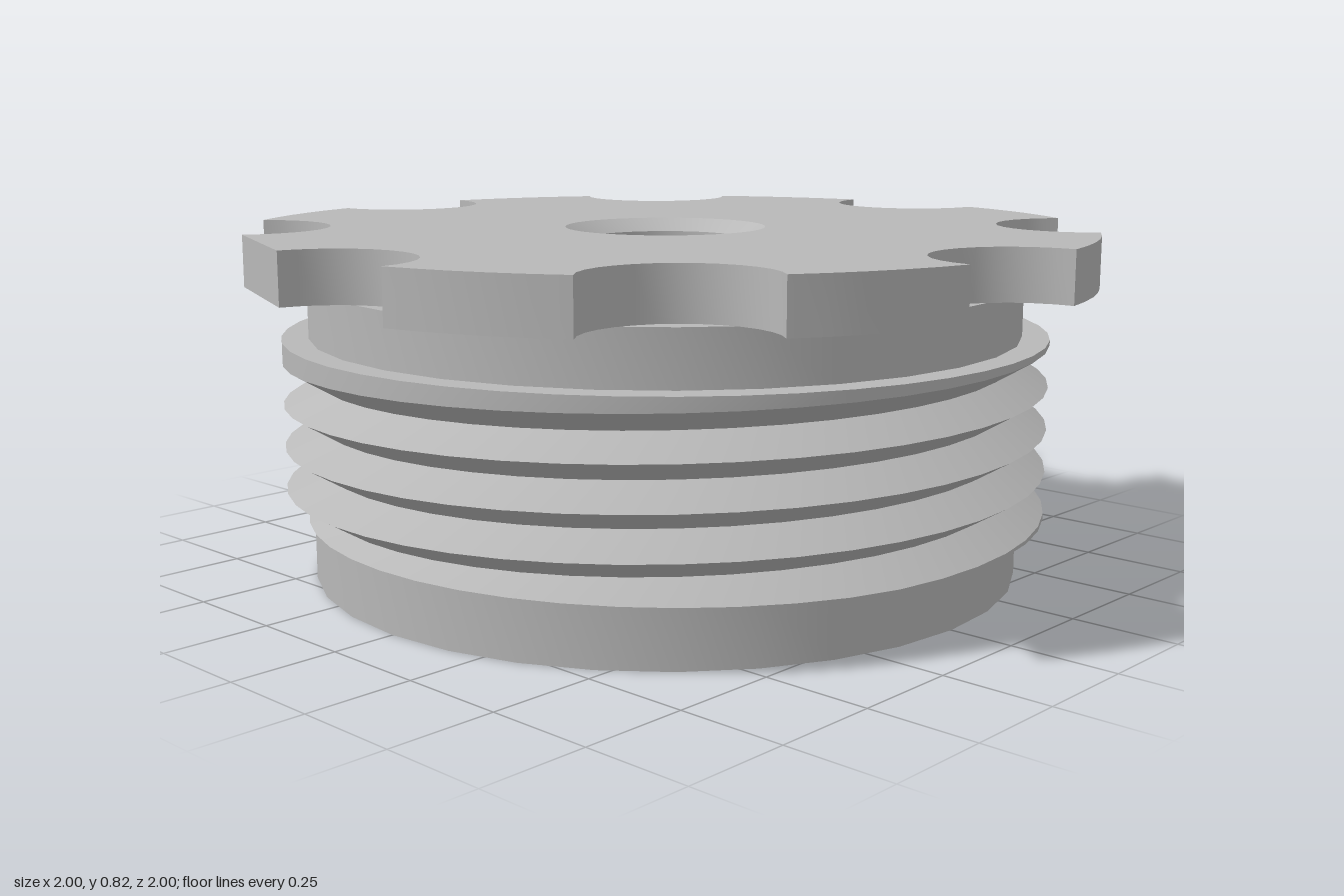
import * as THREE from 'three';
import { toCreasedNormals } from 'three/addons/utils/BufferGeometryUtils.js';

const grey = new THREE.MeshStandardMaterial({ color: 0xb8b8b8, side: THREE.DoubleSide });
grey.name = 'grey plastic';

function part(name, geometry, crease = 0.5) {
  const mesh = new THREE.Mesh(toCreasedNormals(geometry, crease), grey);
  mesh.name = name;
  return mesh;
}

function lathe(points, segments) {
  return new THREE.LatheGeometry(points.map(([r, y]) => new THREE.Vector2(r, y)), segments);
}

// Grip plate: a disc with eight round notches, one rim section cut straight
function gripPlate() {
  const outer = 1.019, notch = 0.197, steps = 14, half = Math.atan(notch);
  const pts = [];
  for (let k = 0; k < 8; k++) {
    const a = k * Math.PI / 4;
    const from = k === 6 ? 0.15 : 0, to = Math.PI - (k === 5 ? 0.15 : 0);
    for (let i = 0; i <= steps; i++) {
      const t = -Math.PI / 2 - from - (to - from) * i / steps;
      const u = 1 + notch * Math.cos(t), v = notch * Math.sin(t);
      pts.push(new THREE.Vector2(u * Math.cos(a) - v * Math.sin(a), u * Math.sin(a) + v * Math.cos(a)));
    }
    if (k === 5) continue;
    for (let i = 1; i < 5; i++) {
      const t = a + half + (Math.PI / 4 - 2 * half) * i / 5;
      pts.push(new THREE.Vector2(outer * Math.cos(t), outer * Math.sin(t)));
    }
  }
  const shape = new THREE.Shape(pts);
  const hole = new THREE.Path();
  hole.absarc(0, 0, 0.24, 0, Math.PI * 2, true);
  shape.holes.push(hole);
  const g = new THREE.ExtrudeGeometry(shape, { depth: 0.12, bevelEnabled: false, curveSegments: 20 });
  return g.rotateX(-Math.PI / 2).translate(0, 0.7, 0);
}

// Thread: a collar with a rising helical V groove of four turns
function threadProfile(phase) {
  const bottom = 0.15, top = 0.575, pitch = 0.1;
  const first = 0.13 + pitch * phase;
  const ys = [bottom];
  for (let i = -1; i <= 7; i++) ys.push(first + i * pitch / 2);
  ys.push(top);
  const rows = ys.map((value) => {
    const y = Math.min(top, Math.max(bottom, value));
    let depth = 0;
    for (let k = 0; k < 4; k++) {
      depth = Math.max(depth, 1 - Math.abs(y - first - k * pitch) / (pitch / 2));
    }
    return [0.913 - 0.083 * depth, y];
  });
  return [[0.8, bottom], ...rows, [0.8, top]];
}

function threadGeometry() {
  const segments = 48, pos = [];
  const at = (phase, [r, y]) => {
    const a = phase * Math.PI * 2;
    return [-r * Math.sin(a), y, -r * Math.cos(a)];
  };
  const quad = (a, b, c, d) => pos.push(...a, ...b, ...c, ...a, ...c, ...d);
  for (let i = 0; i < segments; i++) {
    const p0 = i / segments, p1 = (i + 1) / segments;
    const c0 = threadProfile(p0), c1 = threadProfile(p1);
    for (let j = 0; j < c0.length - 1; j++) {
      quad(at(p0, c0[j]), at(p1, c1[j]), at(p1, c1[j + 1]), at(p0, c0[j + 1]));
    }
  }
  // End walls where the groove starts and stops
  for (const phase of [0, 1]) {
    const c = threadProfile(phase);
    for (let j = 1; j < c.length - 2; j++) {
      const corners = [[0.8, c[j][1]], c[j], c[j + 1], [0.8, c[j + 1][1]]].map((p) => at(phase, p));
      if (phase) corners.reverse();
      quad(...corners);
    }
  }
  const g = new THREE.BufferGeometry();
  g.setAttribute('position', new THREE.Float32BufferAttribute(pos, 3));
  g.computeVertexNormals();
  return g;
}

export function createModel() {
  const model = new THREE.Group();
  model.name = 'threaded plug';

  model.add(part('gripPlate', gripPlate(), 0.4));

  // Plain collars above and below the thread, with the hollow underside
  model.add(part('body', lathe([
    [0.565, 0.13], [0.74, 0.13], [0.74, 0.115], [0.765, 0.115], [0.765, 0], [0.85, 0],
    [0.85, 0.16], [0.8, 0.16], [0.8, 0.56], [0.85, 0.56], [0.85, 0.7], [0.7, 0.7],
  ], 32)));

  model.add(part('thread', threadGeometry(), 0.35));

  // Shallow bulge under the plug
  model.add(part('undersideDome', lathe([
    [0, 0.04], [0.2, 0.05], [0.4, 0.08], [0.565, 0.13],
  ], 16)));

  // Countersunk bowl in the middle of the top
  model.add(part('topRecess', lathe([
    [0.24, 0.82], [0.195, 0.79], [0.195, 0.77], [0.14, 0.745], [0.07, 0.728], [0, 0.722],
  ], 40)));

  return model;
}
